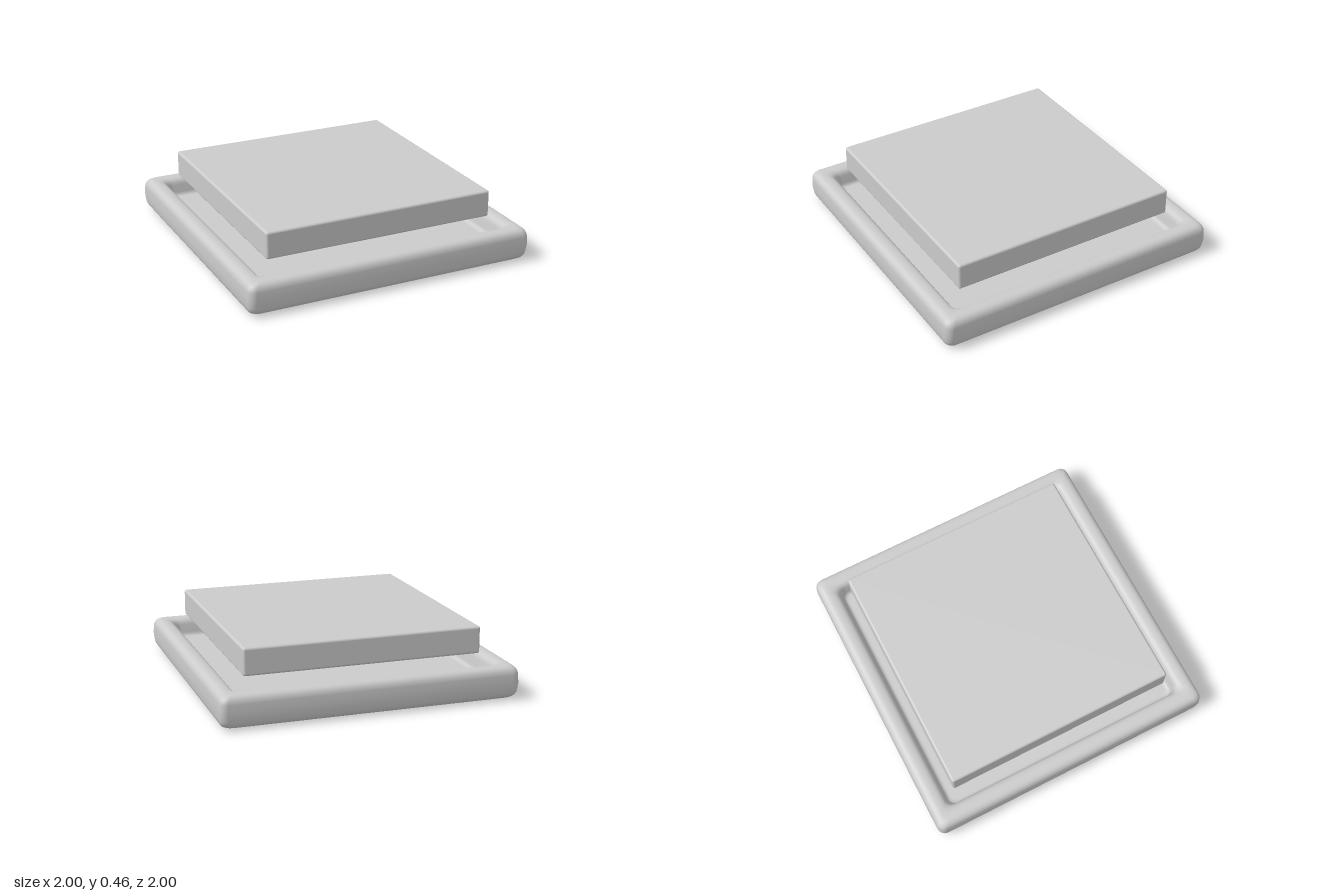
import * as THREE from 'three';
import { RoundedBoxGeometry } from 'three/addons/geometries/RoundedBoxGeometry.js';

const material = new THREE.MeshStandardMaterial({ color: 0xcccccc });

function addPart(group, name, geometry, y = 0) {
  const mesh = new THREE.Mesh(geometry, material);
  mesh.name = name;
  mesh.position.y = y;
  group.add(mesh);
}

// Sweeps a profile of (half width, height) points around a square with rounded corners.
function squareLathe(profile, cornerRadius, cornerSteps) {
  const positions = [], index = [];
  const ring = 4 * (cornerSteps + 1);
  for (const p of profile) {
    const r = Math.min(p.x, cornerRadius);
    for (let c = 0; c < 4; c++) {
      const mid = Math.PI / 4 + c * Math.PI / 2;
      const cx = Math.sign(Math.cos(mid)) * (p.x - r);
      const cz = Math.sign(Math.sin(mid)) * (p.x - r);
      for (let s = 0; s <= cornerSteps; s++) {
        const a = (c + s / cornerSteps) * Math.PI / 2;
        positions.push(cx + r * Math.cos(a), p.y, cz + r * Math.sin(a));
      }
    }
  }
  for (let i = 0; i < profile.length - 1; i++) {
    for (let j = 0; j < ring; j++) {
      const a = i * ring + j, b = i * ring + (j + 1) % ring;
      index.push(a, a + ring, b, b, a + ring, b + ring);
    }
  }
  const geometry = new THREE.BufferGeometry();
  geometry.setAttribute('position', new THREE.Float32BufferAttribute(positions, 3));
  geometry.setIndex(index);
  geometry.computeVertexNormals();
  return geometry;
}

export function createModel() {
  const group = new THREE.Group();
  group.name = 'pedestalTray';

  // Tray: flat underside, soft raised rim, sunken floor
  const section = new THREE.Path();
  section.moveTo(0, 0.005);
  section.lineTo(0.88, 0.005);
  section.bezierCurveTo(0.96, 0.005, 0.99, 0.02, 0.995, 0.07);
  section.lineTo(1, 0.115);
  section.lineTo(0.997, 0.175);
  section.bezierCurveTo(0.992, 0.215, 0.97, 0.23, 0.935, 0.23);
  section.bezierCurveTo(0.89, 0.23, 0.872, 0.215, 0.866, 0.18);
  section.lineTo(0.858, 0.14);
  section.bezierCurveTo(0.855, 0.11, 0.845, 0.1, 0.82, 0.1);
  section.lineTo(0.78, 0.1);
  section.lineTo(0, 0.1);
  addPart(group, 'tray', squareLathe(section.getPoints(8), 0.05, 6));

  // Short round post holding up the plate
  addPart(group, 'post', new THREE.CylinderGeometry(0.173, 0.173, 0.24, 48), 0.2);

  // Square plate with slightly eased edges
  addPart(group, 'plate', new RoundedBoxGeometry(1.595, 0.183, 1.595, 4, 0.016), 0.372);

  return group;
}
